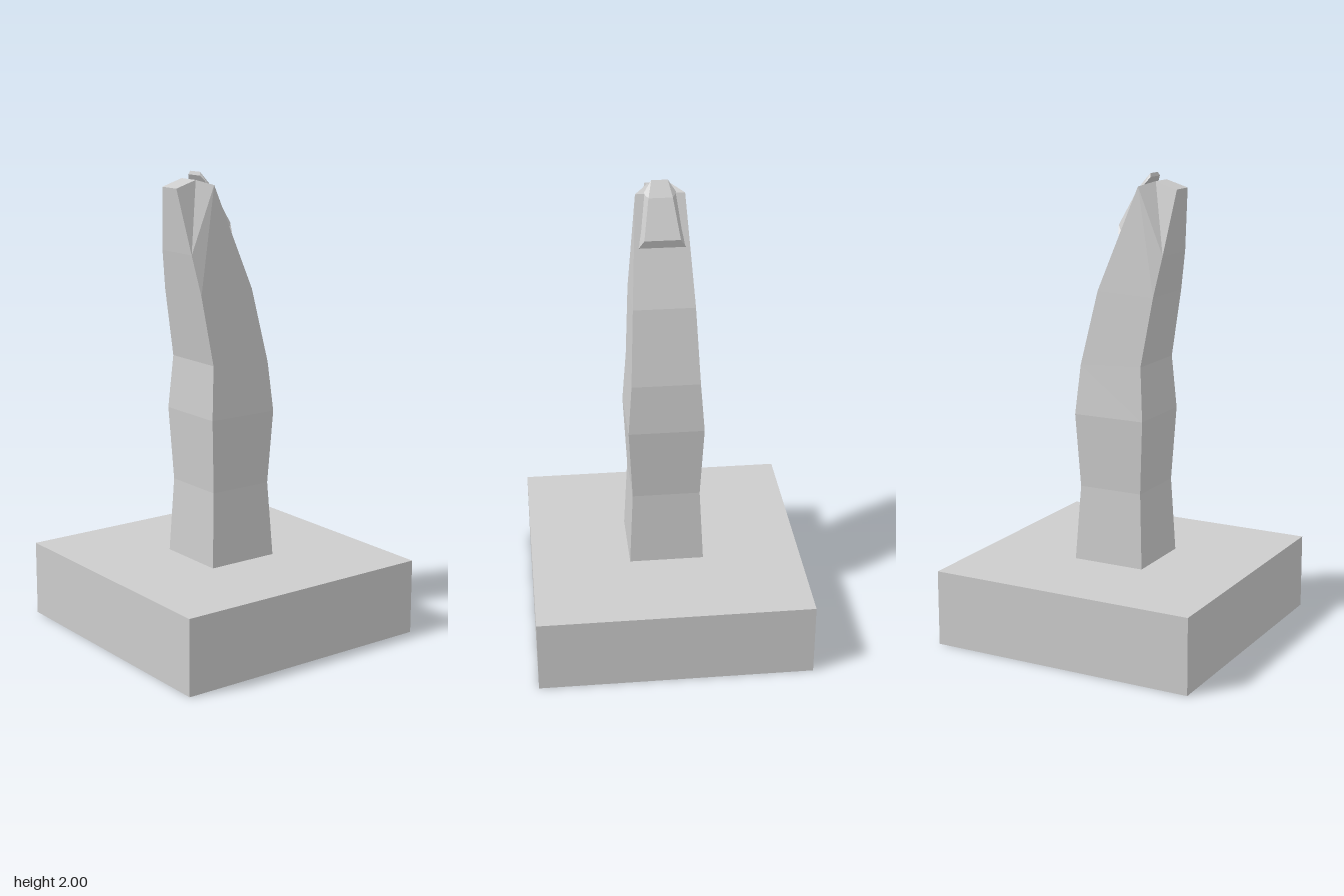
import * as THREE from 'three';

// Joins four-cornered sections; each is [right x, y, half z, left x, y, half z], bottom to top
function loft(sections) {
  const rings = sections.map(([rx, ry, rz, lx, ly, lz]) => [
    [rx, ry, rz], [rx, ry, -rz], [lx, ly, -lz], [lx, ly, lz],
  ]);
  const pos = [];
  const tri = (...corners) => corners.forEach((c) => pos.push(...c));
  for (let s = 0; s < rings.length - 1; s++) {
    const a = rings[s], b = rings[s + 1];
    for (let i = 0; i < 4; i++) {
      const j = (i + 1) % 4;
      // mirrored diagonals on the two sides
      if (i === 3) { tri(a[i], a[j], b[j]); tri(a[i], b[j], b[i]); }
      else { tri(a[i], a[j], b[i]); tri(a[j], b[j], b[i]); }
    }
  }
  const t = rings[rings.length - 1], u = rings[0];
  tri(t[0], t[1], t[2]); tri(t[0], t[2], t[3]);
  tri(u[0], u[2], u[1]); tri(u[0], u[3], u[2]);
  const geo = new THREE.BufferGeometry();
  geo.setAttribute('position', new THREE.Float32BufferAttribute(pos, 3));
  geo.computeVertexNormals();
  return geo;
}

export function createModel() {
  const model = new THREE.Group();
  model.name = 'fingerStatue';
  const stone = new THREE.MeshStandardMaterial({ color: 0xcccccc, flatShading: true });
  stone.name = 'grey stone';

  const add = (name, geo) => {
    const mesh = new THREE.Mesh(geo, stone);
    mesh.name = name;
    model.add(mesh);
    return mesh;
  };

  // Square plinth
  add('base', new THREE.BoxGeometry(1.185, 0.328, 1.185)).position.y = 0.164;

  // Finger, bending towards the right at the tip
  add('finger', loft([
    [0.162, 0.325, 0.162, -0.162, 0.325, 0.162],
    [0.142, 0.655, 0.146, -0.146, 0.655, 0.146],
    [0.16, 0.975, 0.162, -0.163, 0.975, 0.162],
    [0.14, 1.19, 0.146, -0.146, 1.205, 0.146],
    [0.065, 1.51, 0.131, -0.196, 1.5, 0.131],
    [-0.11, 1.95, 0.103, -0.226, 1.67, 0.105],
    [-0.165, 1.97, 0.05, -0.262, 1.94, 0.05],
  ]));

  // Bevelled nail standing proud of the finger
  add('nail', loft([
    [-0.015, 1.75, 0.098, -0.035, 1.745, 0.098],
    [-0.006, 1.785, 0.075, -0.045, 1.77, 0.094],
    [-0.085, 1.94, 0.05, -0.115, 1.95, 0.068],
    [-0.132, 2.0, 0.034, -0.137, 1.985, 0.042],
  ]));

  return model;
}
